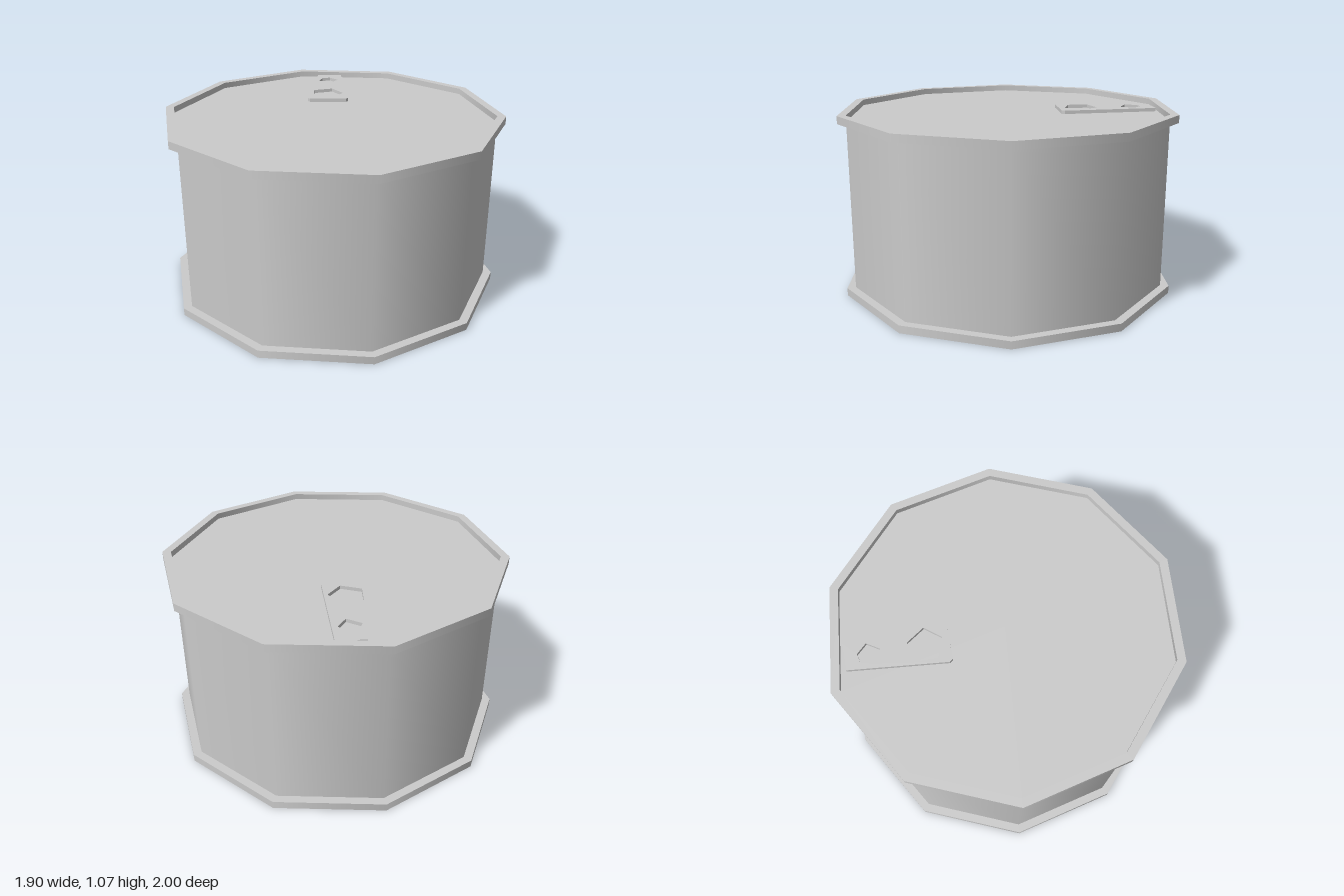
import * as THREE from 'three';
import { mergeGeometries } from 'three/addons/utils/BufferGeometryUtils.js';

const SIDES = 10, HEIGHT = 1.07, RIM = 0.045, RECESS = 0.035;
const R_OUTER = 1, R_BODY = 0.95;

const material = new THREE.MeshStandardMaterial({ color: 0xcccccc });

// Revolves each profile edge on its own: smooth around, sharp across edges
function revolve(points) {
  const bands = [];
  for (let i = 0; i < points.length - 1; i++) {
    const pair = [points[i], points[i + 1]].map(([x, y]) => new THREE.Vector2(x, y));
    bands.push(new THREE.LatheGeometry(pair, SIDES));
  }
  return mergeGeometries(bands);
}

const toVectors = (points) => points.map(([x, z]) => new THREE.Vector2(x, z));

export function createModel() {
  const group = new THREE.Group();
  const add = (name, geometry, y = 0) => {
    const mesh = new THREE.Mesh(geometry, material);
    mesh.name = name;
    mesh.position.y = y;
    group.add(mesh);
    return mesh;
  };

  // Can wall
  add('body', revolve([[R_BODY, RECESS], [R_BODY, HEIGHT - RECESS]]));

  // Projecting rims at both ends
  const rim = revolve([
    [R_BODY, 0], [R_OUTER, 0], [R_OUTER, RIM], [R_BODY, RIM], [R_BODY, 0],
  ]);
  add('bottomRim', rim);
  add('topRim', rim, HEIGHT - RIM);

  // Recessed end plates
  const plate = new THREE.CircleGeometry(R_BODY, SIDES, Math.PI / 2);
  add('lid', plate, HEIGHT - RECESS).rotation.x = -Math.PI / 2;
  add('base', plate, RECESS).rotation.x = Math.PI / 2;

  // Pull tab with two five-sided holes, outlined in x and z
  const tab = new THREE.Shape(toVectors([
    [0.095, -0.885], [0.25, -0.855], [0.165, -0.3], [0.15, -0.285],
    [-0.07, -0.335], [-0.08, -0.355],
  ]));
  const holes = [
    [[0.11, -0.8], [0.16, -0.8], [0.2, -0.735], [0.14, -0.675], [0.073, -0.738]],
    [[-0.005, -0.52], [0.115, -0.53], [0.168, -0.415], [0.07, -0.34], [-0.032, -0.405]],
  ];
  // Keep the large hole clear of the tab's edge
  holes[1][2][0] = 0.162;
  tab.holes = holes.map((points) => new THREE.Path(toVectors(points)));
  const tabThickness = 0.02;
  const tabGeometry = new THREE.ExtrudeGeometry(tab, { depth: tabThickness, bevelEnabled: false });
  tabGeometry.rotateX(Math.PI / 2);
  add('pullTab', tabGeometry, HEIGHT - RECESS + tabThickness);

  return group;
}
